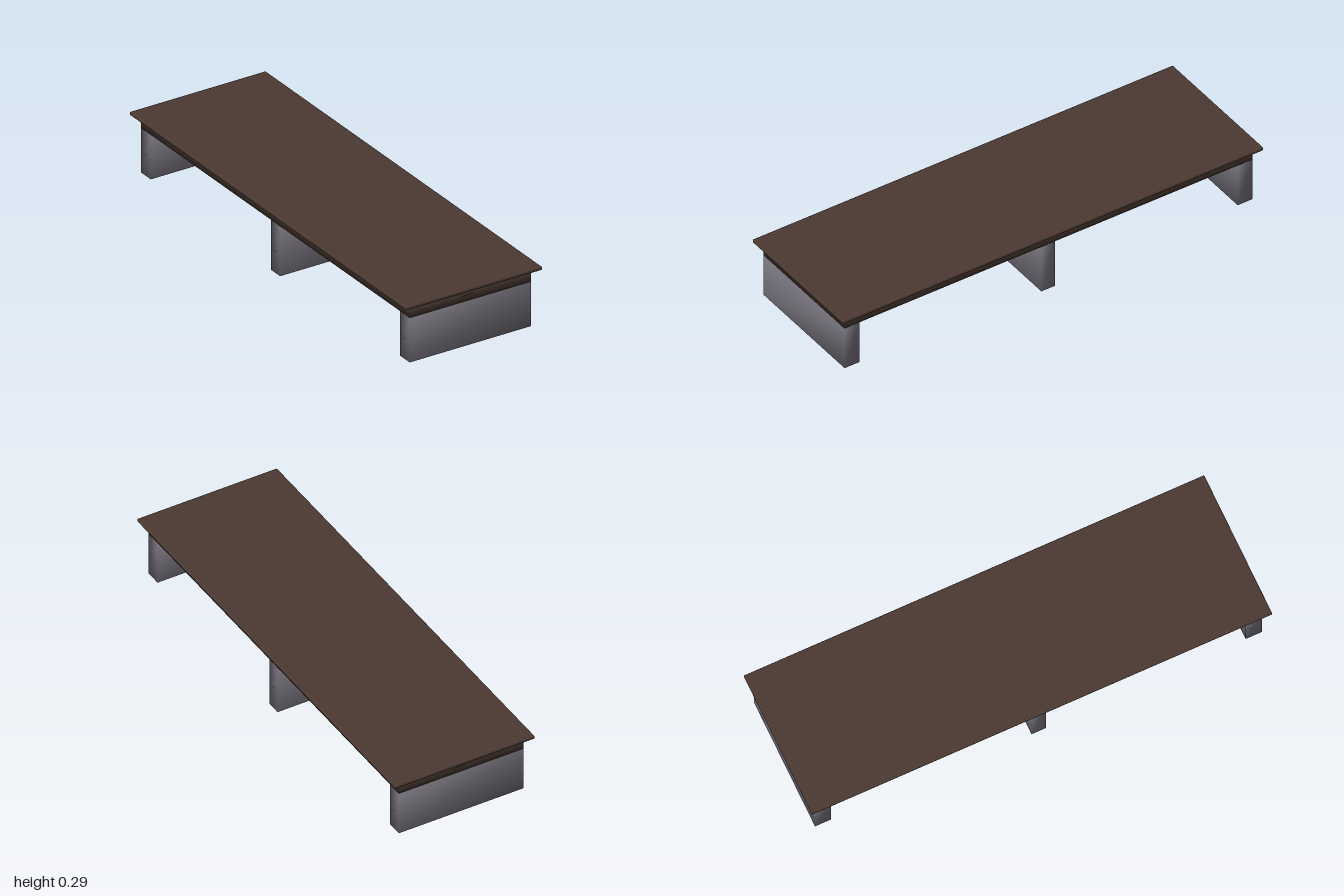
import * as THREE from 'three';
import { mergeVertices } from 'three/addons/utils/BufferGeometryUtils.js';
import { RoundedBoxGeometry } from 'three/addons/geometries/RoundedBoxGeometry.js';

// Box with normals shared across its corners
function smoothBox(w, h, d) {
  let g = new THREE.BoxGeometry(w, h, d);
  g.deleteAttribute('normal');
  g.deleteAttribute('uv');
  g = mergeVertices(g);
  g.computeVertexNormals();
  return g;
}

export function createModel() {
  const group = new THREE.Group();
  const wood = new THREE.MeshStandardMaterial({ name: 'darkWood', color: 0x4b3a32 });
  const stone = new THREE.MeshStandardMaterial({ name: 'greyStone', color: 0x77737d });

  const add = (name, geometry, material, y, z = 0) => {
    const mesh = new THREE.Mesh(geometry, material);
    mesh.name = name;
    mesh.position.set(0, y, z);
    group.add(mesh);
  };

  const apronBottom = 0.222, apronTop = 0.276, top = 0.291;

  // Overhanging top with softened edges
  add('top', new RoundedBoxGeometry(0.64, top - apronTop, 2, 2, 0.005), wood, (top + apronTop) / 2);

  // Solid frame beneath the top
  add('apron', smoothBox(0.57, apronTop - apronBottom, 1.94), wood, (apronTop + apronBottom) / 2);

  // Slab supports; the middle one reaches lower than the end ones
  const supports = [
    ['frontSupport', 0.935, 0.07, 0.024],
    ['middleSupport', 0.002, 0.064, 0],
    ['backSupport', -0.935, 0.07, 0.024],
  ];
  for (const [name, z, depth, bottom] of supports) {
    add(name, smoothBox(0.57, apronBottom - bottom, depth), stone, (apronBottom + bottom) / 2, z);
  }
  return group;
}
